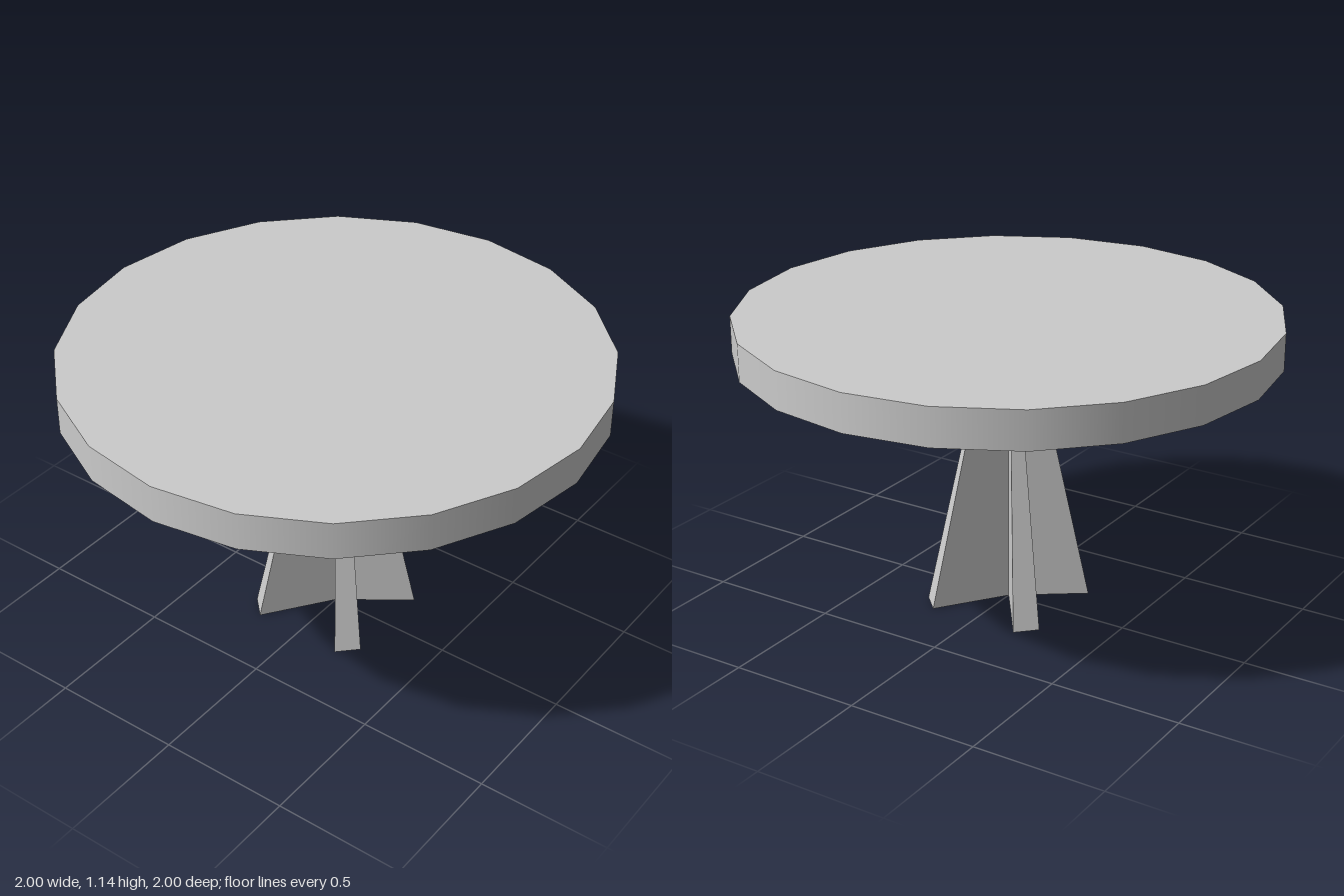
import * as THREE from 'three';

const TOP_BOTTOM = 1.003, TOP_HEIGHT = 1.144;
const FIN_TAPER = 0.163; // half-thickness per unit of radius

// Wedge-shaped fin: a radial profile that thickens away from the axis
function finGeometry() {
  const profile = new THREE.Shape([
    [0, 0], [0.303, 0], [0.132, 0.81], [0.911, TOP_BOTTOM], [0, TOP_BOTTOM],
  ].map(([r, y]) => new THREE.Vector2(r, y)));
  const geometry = new THREE.ExtrudeGeometry(profile, { depth: 2, bevelEnabled: false });
  geometry.translate(0, 0, -1);
  const p = geometry.attributes.position;
  for (let i = 0; i < p.count; i++) p.setZ(i, p.getZ(i) * p.getX(i) * FIN_TAPER);
  geometry.computeVertexNormals();
  return geometry;
}

export function createModel() {
  const group = new THREE.Group();
  group.name = 'pedestalTable';
  const material = new THREE.MeshStandardMaterial({ color: 0xcccccc });

  // Twenty-sided table top
  const thickness = TOP_HEIGHT - TOP_BOTTOM;
  const top = new THREE.Mesh(new THREE.CylinderGeometry(1, 1, thickness, 20), material);
  top.name = 'tableTop';
  top.position.y = TOP_BOTTOM + thickness / 2;
  group.add(top);

  // Four diagonal fins meeting at the central axis
  const pedestal = new THREE.Group();
  pedestal.name = 'pedestal';
  const geometry = finGeometry();
  for (let i = 0; i < 4; i++) {
    const fin = new THREE.Mesh(geometry, material);
    fin.name = `supportFin${i + 1}`;
    fin.rotation.y = Math.PI / 4 + i * Math.PI / 2;
    pedestal.add(fin);
  }
  group.add(pedestal);
  return group;
}
